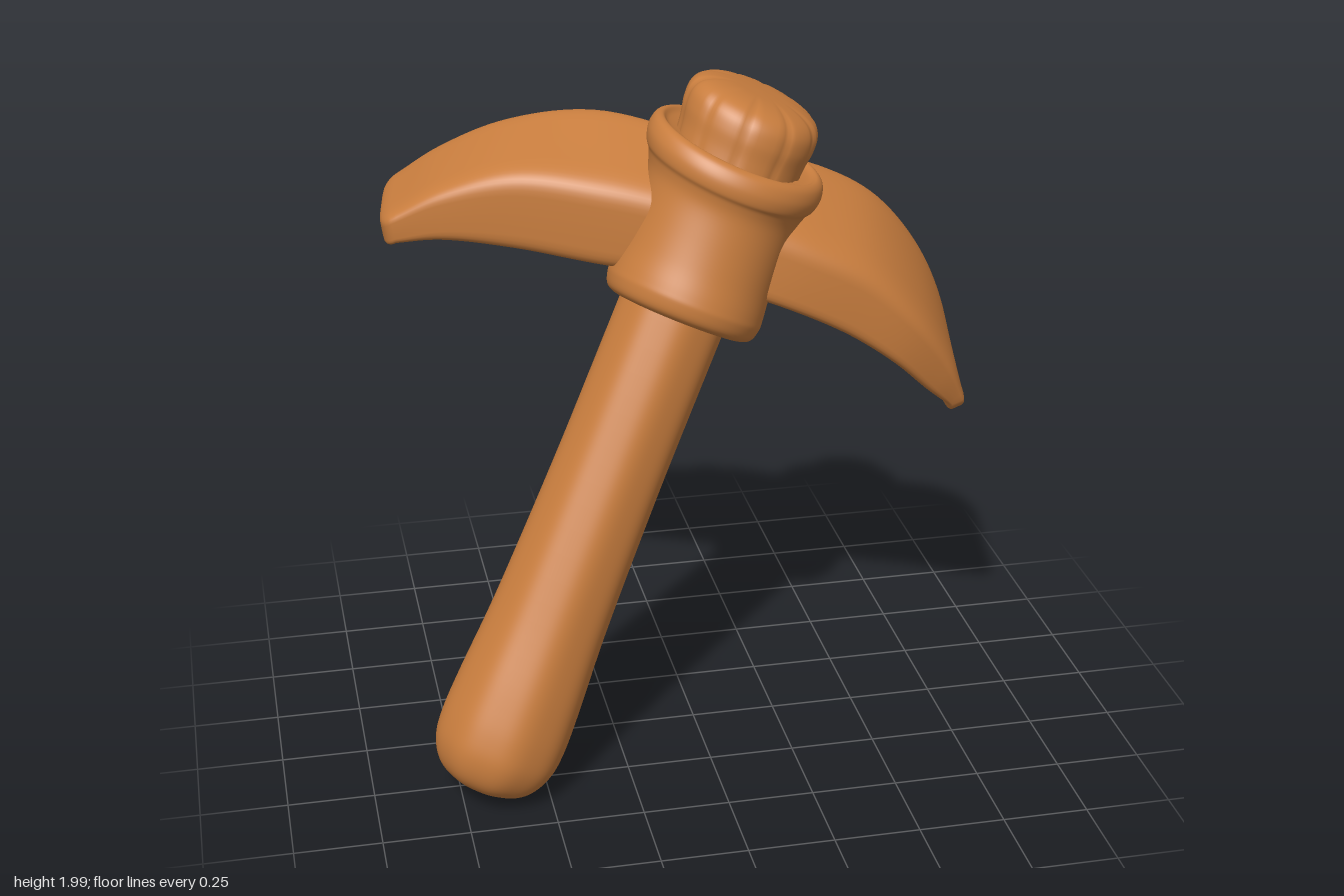
import * as THREE from 'three';
import { mergeVertices } from 'three/addons/utils/BufferGeometryUtils.js';

const wood = new THREE.MeshStandardMaterial({ color: 0xc87d3e });
wood.name = 'warm brown';

// Smooth lathe from a few [radius, height] points, each vertex reshaped by warp
function turned(name, points, warp) {
  const curve = new THREE.SplineCurve(points.map(([r, y]) => new THREE.Vector2(r, y)));
  const profile = curve.getPoints(points.length * 5);
  profile.forEach((p) => { p.x = Math.max(p.x, 0); });
  let geo = new THREE.LatheGeometry(profile, 96);
  const pos = geo.attributes.position;
  for (let i = 0; i < pos.count; i++) {
    pos.setXYZ(i, ...warp(pos.getX(i), pos.getY(i), pos.getZ(i)));
  }
  geo.deleteAttribute('uv');
  geo.deleteAttribute('normal');
  geo = mergeVertices(geo, 1e-5);
  geo.computeVertexNormals();
  const mesh = new THREE.Mesh(geo, wood);
  mesh.name = name;
  return mesh;
}

// Group whose y axis points along the given direction
function leaning(name, position, direction) {
  const group = new THREE.Group();
  group.name = name;
  group.position.set(...position);
  group.quaternion.setFromUnitVectors(new THREE.Vector3(0, 1, 0),
    new THREE.Vector3(...direction).normalize());
  return group;
}

// Blade lofted through rounded four-corner sections.
// Station: front-top xy, back-top xy, front-bottom xy, back-bottom xy,
// front z, back z, inset of the back-top edge
function blade(name, stations, flip) {
  const rail = (c) => new THREE.CatmullRomCurve3(stations.map((s) =>
    new THREE.Vector3(s[2 * c], s[2 * c + 1], [s[8], s[9] + s[10], s[8], s[9]][c])));
  const rails = [0, 1, 2, 3].map(rail);
  const steps = 36, sides = 48, verts = [], index = [];
  const rings = [];
  for (let i = 0; i <= steps; i++) rings.push([i / steps, 1, 1, 0]);
  // Rounded tip: width scale, thickness scale, overhang
  for (const r of [[0.98, 0.99, 0.01], [0.94, 0.96, 0.02], [0.87, 0.9, 0.03], [0.75, 0.82, 0.038],
    [0.58, 0.68, 0.043], [0.32, 0.4, 0.046], [0.01, 0.01, 0.047]]) rings.push([1, ...r]);
  const soft = (v) => Math.sign(v) * Math.pow(Math.abs(v), 0.36);
  for (const [t, ku, kv, off] of rings) {
    const [ft, bt, fb, bb] = rails.map((r) => r.getPoint(t));
    const tangent = rails[0].getTangent(t).add(rails[1].getTangent(t)).normalize();
    for (let j = 0; j < sides; j++) {
      const a = (j / sides) * Math.PI * 2;
      const u = 0.5 + 0.5 * ku * soft(Math.cos(a)), v = 0.5 + 0.5 * kv * soft(Math.sin(a));
      const p = bt.clone().lerp(ft, u).multiplyScalar(v)
        .addScaledVector(bb.clone().lerp(fb, u), 1 - v)
        .addScaledVector(tangent, off);
      verts.push(p.x, p.y, p.z);
    }
  }
  for (let i = 0; i < rings.length - 1; i++) {
    for (let j = 0; j < sides; j++) {
      const n = (j + 1) % sides;
      const a = i * sides + j, b = i * sides + n, c = a + sides, d = b + sides;
      if (flip) index.push(a, b, c, b, d, c);
      else index.push(a, c, b, b, c, d);
    }
  }
  const geo = new THREE.BufferGeometry();
  geo.setAttribute('position', new THREE.Float32BufferAttribute(verts, 3));
  geo.setIndex(index);
  geo.computeVertexNormals();
  const mesh = new THREE.Mesh(geo, wood);
  mesh.name = name;
  return mesh;
}

export function createModel() {
  const model = new THREE.Group();
  model.name = 'pickaxe';

  // Handle with soft whittled facets
  const shaft = leaning('shaft', [-0.63, 0.18, 0.292], [0.481, 1, -0.225]);
  shaft.add(turned('handle', [
    [0, -0.163], [0.08, -0.155], [0.14, -0.122], [0.177, -0.06], [0.188, 0.02],
    [0.184, 0.15], [0.169, 0.4], [0.159, 0.8], [0.157, 1.1], [0.157, 1.5],
  ], (x, y, z) => {
    const k = 1 + 0.01 * Math.cos(8 * Math.atan2(z, x));
    return [x * k, y, z * k];
  }));
  model.add(shaft);

  // Head is tilted a little differently from the handle and slides back as it rises
  const head = leaning('head', [-0.033, 1.37, 0.008], [0.43, 1, 0.06]);
  const lean = -0.22;

  // Collar with a rolled rim; its lower end squares up to the handle
  head.add(turned('collar', [
    [0.13, -0.03], [0.18, -0.042], [0.217, -0.03], [0.231, 0.005], [0.231, 0.04],
    [0.225, 0.12], [0.224, 0.22], [0.228, 0.31], [0.242, 0.36], [0.258, 0.385],
    [0.266, 0.42], [0.258, 0.452], [0.238, 0.464], [0.216, 0.452], [0.17, 0.445],
  ], (x, y, z) => {
    const low = THREE.MathUtils.clamp(1 - y / 0.4, 0, 1);
    return [x, y + low * (0.26 * z - 0.04 * x), z + lean * y];
  }));

  // Handle end with split grooves
  head.add(turned('handleTop', [
    [0.185, 0.38], [0.19, 0.47], [0.199, 0.53], [0.194, 0.575], [0.165, 0.604],
    [0.1, 0.62], [0, 0.624],
  ], (x, y, z) => {
    const groove = Math.pow(Math.abs(Math.cos(5 * Math.atan2(z, x))), 24);
    const k = 1 - 0.025 * groove;
    return [x * k, y - 0.05 * groove * Math.max(0, Math.hypot(x, z) - 0.09), z * k + lean * y];
  }));
  model.add(head);

  // Long downward-curving blade
  model.add(blade('leftBlade', [
    [0.12, 1.63, 0.2, 1.78, 0.04, 1.42, 0.1, 1.5, 0.1, -0.24, 0.05],
    [0.33, 1.54, 0.435, 1.7, 0.22, 1.355, 0.3, 1.44, 0.125, -0.285, 0.06],
    [0.5, 1.445, 0.6, 1.6, 0.42, 1.255, 0.46, 1.35, 0.125, -0.29, 0.045],
    [0.65, 1.295, 0.745, 1.42, 0.57, 1.15, 0.61, 1.22, 0.11, -0.295, 0.025],
    [0.765, 1.13, 0.83, 1.22, 0.69, 1.04, 0.72, 1.08, 0.065, -0.305, 0.01],
    [0.822, 1.0, 0.855, 1.045, 0.765, 0.98, 0.785, 0.99, 0.025, -0.31, 0],
  ], false));

  // Flatter blade on the other side
  model.add(blade('rightBlade', [
    [0.03, 1.67, 0.09, 1.81, 0.0, 1.45, 0.06, 1.53, 0.09, -0.25, 0.03],
    [-0.25, 1.735, -0.22, 1.875, -0.25, 1.475, -0.22, 1.545, 0.02, -0.385, 0.03],
    [-0.5, 1.76, -0.47, 1.835, -0.5, 1.52, -0.47, 1.58, -0.06, -0.44, 0.025],
    [-0.7, 1.705, -0.66, 1.745, -0.7, 1.545, -0.66, 1.575, -0.12, -0.475, 0.015],
    [-0.835, 1.63, -0.785, 1.66, -0.82, 1.535, -0.775, 1.565, -0.16, -0.487, 0.01],
  ], true));

  return model;
}
